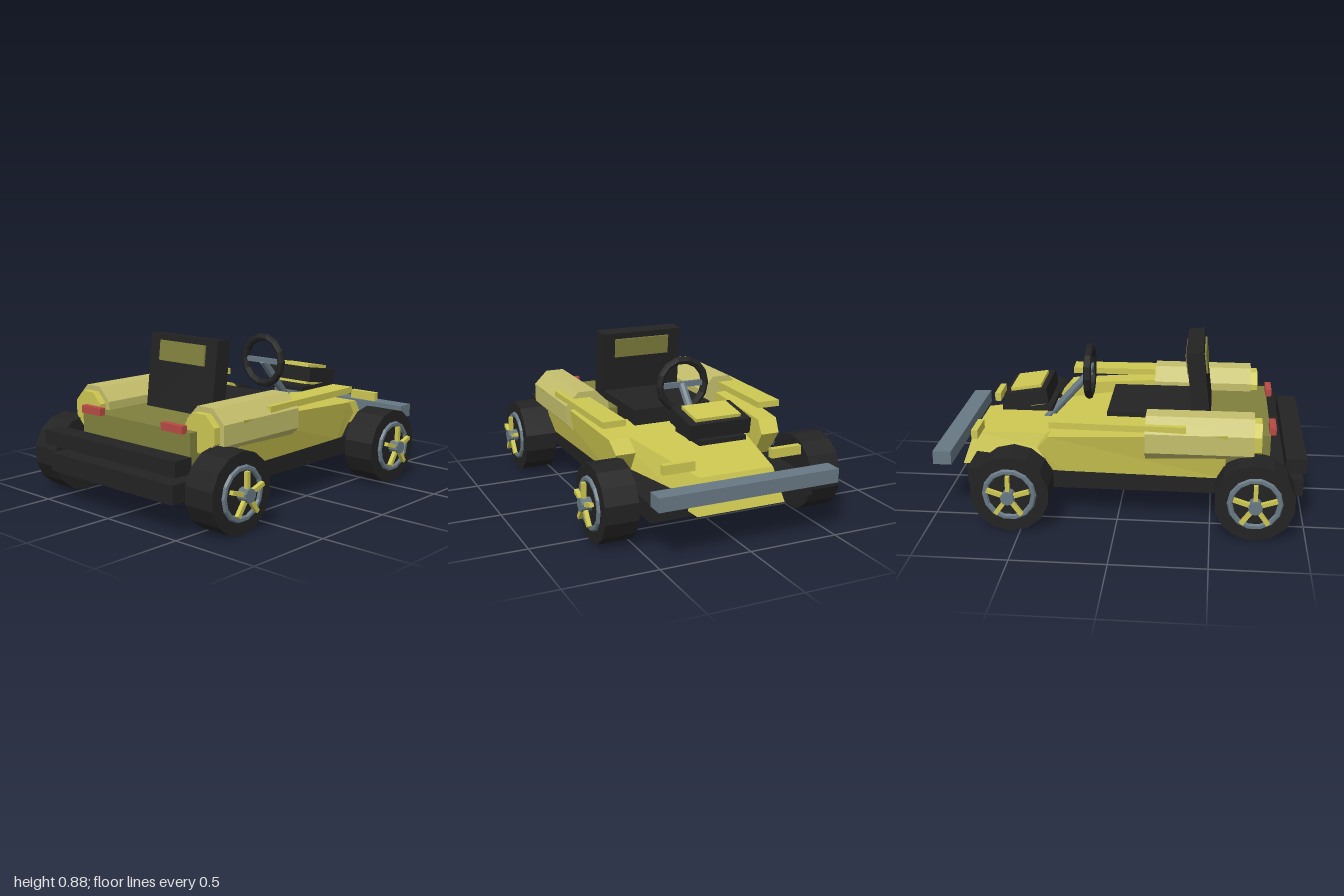
import * as THREE from 'three';

const mat = (name, color) => {
  const m = new THREE.MeshStandardMaterial({ color });
  m.name = name;
  m.flatShading = true;
  return m;
};

export function createModel() {
  const yellow = mat('body yellow', 0xcec852);
  const olive = mat('deck olive', 0x80803e);
  const pale = mat('pale yellow', 0xc4bf6c);
  const black = mat('rubber black', 0x232323);
  const grey = mat('steel grey', 0x687984);
  const red = mat('lamp red', 0xb84a44);

  const root = new THREE.Group();
  root.name = 'kart';

  const add = (name, geo, material, parent = root) => {
    const m = new THREE.Mesh(geo, material);
    m.name = name;
    parent.add(m);
    return m;
  };
  // Box given by its extents on each axis
  const box = (name, material, [x0, x1], [y0, y1], [z0, z1], parent = root) => {
    const m = add(name, new THREE.BoxGeometry(x1 - x0, y1 - y0, z1 - z0), material, parent);
    m.position.set((x0 + x1) / 2, (y0 + y1) / 2, (z0 + z1) / 2);
    return m;
  };
  // Straight rod between two points
  const rod = (name, material, a, b, r, sides, parent = root) => {
    const d = b.clone().sub(a);
    const m = add(name, new THREE.CylinderGeometry(r, r, d.length(), sides), material, parent);
    m.position.copy(a).addScaledVector(d, 0.5);
    m.quaternion.setFromUnitVectors(new THREE.Vector3(0, 1, 0), d.normalize());
    return m;
  };
  const V = (x, y, z) => new THREE.Vector3(x, y, z);

  // Faceted solid through four-cornered rings, counterclockwise from +z, ordered by rising z
  const loft = (rings) => {
    const p = [];
    const quad = (a, b, c, d) => p.push(...a, ...b, ...c, ...a, ...c, ...d);
    for (let i = 0; i < rings.length - 1; i++) {
      for (let j = 0; j < 4; j++) {
        const k = (j + 1) % 4;
        quad(rings[i][j], rings[i][k], rings[i + 1][k], rings[i + 1][j]);
      }
    }
    const [a, b, c, d] = rings[0];
    quad(d, c, b, a);
    quad(...rings[rings.length - 1]);
    const g = new THREE.BufferGeometry();
    g.setAttribute('position', new THREE.Float32BufferAttribute(p, 3));
    g.computeVertexNormals();
    return g;
  };

  // Chassis and bumpers
  box('chassis', black, [-0.47, 0.47], [0.165, 0.265], [-0.82, 0.99]);
  box('rearBumper', black, [-0.5, 0.5], [0.31, 0.39], [0.89, 1]);
  box('frontBumper', grey, [-0.505, 0.505], [0.29, 0.365], [-1, -0.9]);

  // Tapered nose and hood
  add('hood', loft([
    [[-0.25, 0.19, -0.9], [0.25, 0.19, -0.9], [0.21, 0.37, -0.84], [-0.21, 0.37, -0.84]],
    [[-0.43, 0.266, 0.07], [0.43, 0.266, 0.07], [0.38, 0.445, 0.03], [-0.38, 0.445, 0.03]],
  ]), yellow);
  box('rearDeck', olive, [-0.41, 0.41], [0.29, 0.48], [0.17, 0.81]);

  for (const s of [1, -1]) {
    // Side pod: inner and outer x, bottom and top y along z
    const ring = (xi, xb, xt, y0, y1, z0, z1) => {
      const r = [[xi, y0, z0], [xb, y0, z0], [xt, y1, z1], [xi, y1, z1]];
      return s > 0 ? r : r.map(([x, y, z]) => [-x, y, z]).reverse();
    };
    add('sidePod', loft([
      ring(0.38, 0.47, 0.49, 0.266, 0.40, -0.35, -0.43),
      ring(0.39, 0.475, 0.505, 0.266, 0.47, -0.3, -0.37),
      ring(0.4, 0.5, 0.56, 0.266, 0.53, 0.57, 0.58),
    ]), yellow);

    const rail = box('sideRail', yellow, [-0.065, 0.065], [0.53, 0.565], [-0.355, 0.365]);
    rail.position.x = s * 0.475;
    rail.rotation.y = s * 0.025;

    // Eight-sided side tank with a stepped rear cap
    const tank = (name, r, z0, z1, material) => {
      const g = new THREE.CylinderGeometry(r, r, z1 - z0, 8).rotateY(Math.PI / 8).rotateX(Math.PI / 2);
      add(name, g, material).position.set(s * 0.428, 0.472, (z0 + z1) / 2);
    };
    tank('sideTank', 0.138, 0.15, 0.72, pale);
    tank('tankCap', 0.108, 0.72, 0.76, yellow);

    // Lamps
    const span = (a, b) => (s > 0 ? [a, b] : [-b, -a]);
    box('frontLamp', yellow, span(0.22, 0.395), [0.4, 0.45], [-0.81, -0.775]);
    box('tailLamp', red, span(0.235, 0.385), [0.475, 0.515], [0.805, 0.84]);
  }

  // Seat
  box('seatCushion', black, [-0.235, 0.235], [0.4, 0.525], [-0.08, 0.4]);
  const backrest = new THREE.Group();
  backrest.name = 'backrest';
  backrest.position.set(0, 0.67, 0.42);
  backrest.rotation.x = -0.12;
  root.add(backrest);
  box('backrestPad', black, [-0.25, 0.25], [-0.21, 0.21], [-0.047, 0.047], backrest);
  box('backrestPanel', olive, [-0.17, 0.17], [0.065, 0.175], [-0.057, 0.057], backrest);

  // Hood block with a yellow insert, above a flat plate
  box('blockPlate', black, [-0.135, 0.135], [0.48, 0.505], [-0.685, -0.4]);
  const block = new THREE.Group();
  block.name = 'hoodBlock';
  block.position.set(0, 0.563, -0.54);
  block.rotation.x = -0.16;
  root.add(block);
  box('blockBody', black, [-0.175, 0.175], [-0.042, 0.042], [-0.12, 0.12], block);
  box('blockInsert', yellow, [-0.13, 0.13], [-0.06, 0.06], [-0.087, 0.087], block);

  // Steering
  add('steeringWheel', new THREE.TorusGeometry(0.137, 0.022, 8, 14), black).position.set(0, 0.678, -0.203);
  box('steeringSpoke', grey, [-0.13, 0.13], [0.663, 0.693], [-0.213, -0.193]);
  rod('steeringColumn', grey, V(0, 0.675, -0.2), V(0, 0.36, -0.48), 0.023, 8);

  // Axles and wheels
  for (const z of [-0.55, 0.73]) {
    rod('axle', grey, V(-0.52, 0.21, z), V(0.52, 0.21, z), 0.028, 8);
    for (const s of [1, -1]) {
      const wheel = new THREE.Group();
      wheel.name = (z < 0 ? 'front' : 'rear') + 'Wheel';
      wheel.position.set(0, 0.211, z);
      wheel.rotation.y = s > 0 ? 0 : Math.PI;
      root.add(wheel);
      const disc = (name, material, r, x0, x1, sides) => {
        // Turned so that a corner points straight up
        const g = new THREE.CylinderGeometry(r, r, x1 - x0, sides).rotateY(Math.PI / 2).rotateZ(Math.PI / 2);
        add(name, g, material, wheel).position.x = (x0 + x1) / 2;
      };
      disc('tyre', black, 0.211, 0.5, 0.683, 14);
      const rim = add('rimRing', new THREE.TorusGeometry(0.13, 0.016, 6, 14).rotateY(Math.PI / 2), grey, wheel);
      rim.position.x = 0.682;
      disc('hub', grey, 0.037, 0.68, 0.74, 10);
      for (let i = 0; i < 5; i++) {
        const spoke = new THREE.Group();
        spoke.name = 'spoke';
        spoke.rotation.x = (i * Math.PI * 2) / 5;
        wheel.add(spoke);
        box('spokeBar', yellow, [0.705, 0.728], [0.03, 0.118], [-0.011, 0.011], spoke);
      }
    }
  }
  return root;
}
